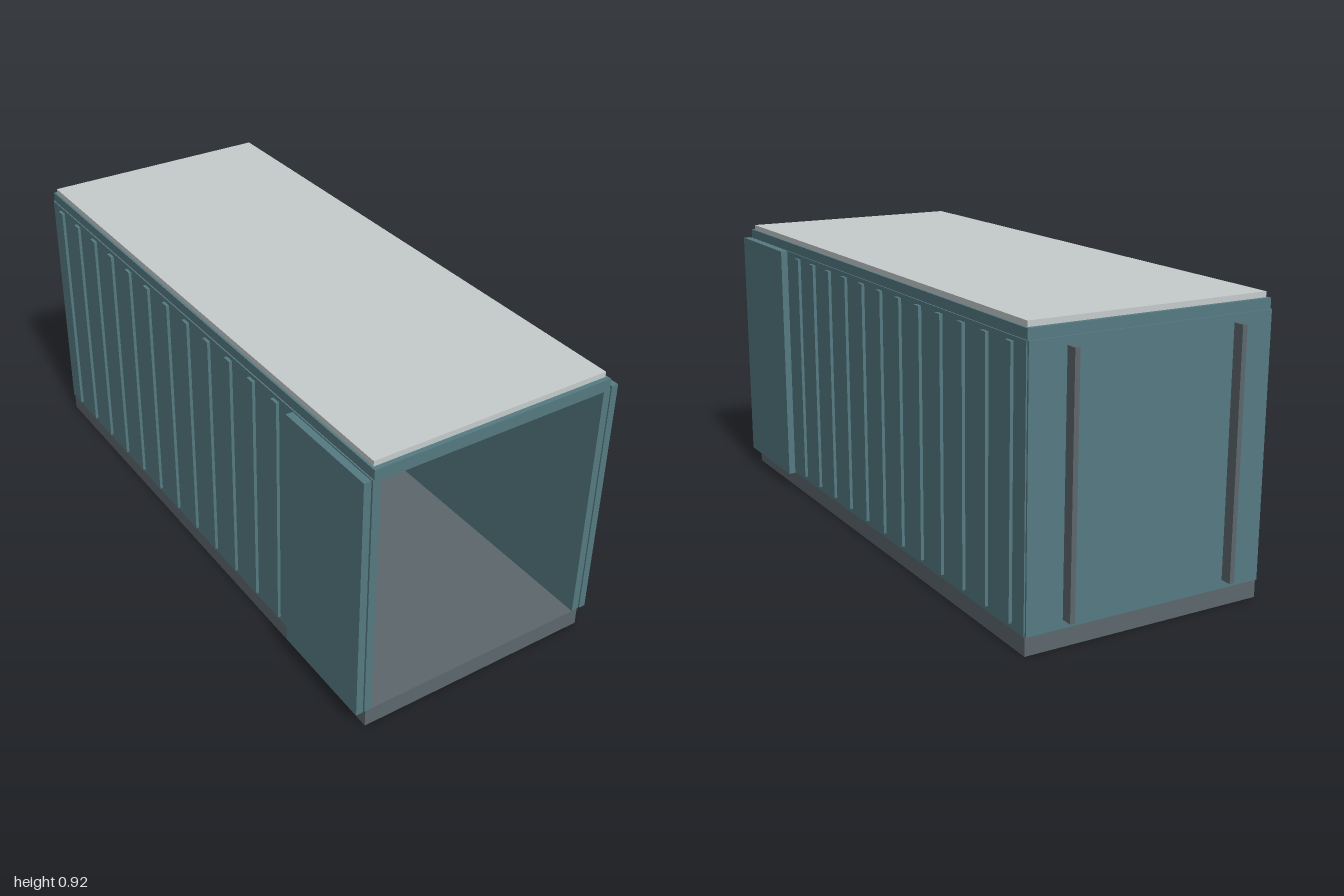
import * as THREE from 'three';

export function createModel() {
  const model = new THREE.Group();
  const teal = new THREE.MeshStandardMaterial({ color: 0x557a82 });
  const steel = new THREE.MeshStandardMaterial({ color: 0x5d676c });
  const pale = new THREE.MeshStandardMaterial({ color: 0xc6cccd });

  // Box given by its lower and upper limits on each axis
  function box(name, material, [x0, x1], [y0, y1], [z0, z1]) {
    const mesh = new THREE.Mesh(new THREE.BoxGeometry(x1 - x0, y1 - y0, z1 - z0), material);
    mesh.position.set((x0 + x1) / 2, (y0 + y1) / 2, (z0 + z1) / 2);
    mesh.name = name;
    model.add(mesh);
  }
  // Same box on the left (+x) and mirrored on the right (-x)
  function pair(name, material, [x0, x1], y, z) {
    box(name + 'Left', material, [x0, x1], y, z);
    box(name + 'Right', material, [-x1, -x0], y, z);
  }

  // Floor and roof
  box('floor', steel, [-0.4, 0.4], [0, 0.058], [-0.958, 1]);
  box('ceilingSlab', teal, [-0.4, 0.4], [0.867, 0.905], [-0.958, 1]);
  box('roofPanel', pale, [-0.393, 0.393], [0.905, 0.922], [-0.945, 0.985]);

  // Walls, slightly proud of the floor; the front stays open
  pair('sideWall', teal, [0.38, 0.404], [0.058, 0.874], [-0.958, 1]);
  box('backWall', teal, [-0.4, 0.4], [0.058, 0.874], [-0.964, -0.94]);

  // Vertical ribs along both sides
  for (let i = 0; i < 12; i++) {
    const z = 0.537 - i * 0.129;
    pair('rib' + (i + 1), teal, [0.4, 0.414], [0.075, 0.861], [z - 0.015, z + 0.015]);
  }

  // Front doors folded back against the sides
  pair('openDoor', teal, [0.409, 0.432], [0.058, 0.876], [0.63, 1]);

  // Upright bars on the back wall
  pair('backBar', steel, [0.267, 0.283], [0.085, 0.85], [-1, -0.96]);

  return model;
}
